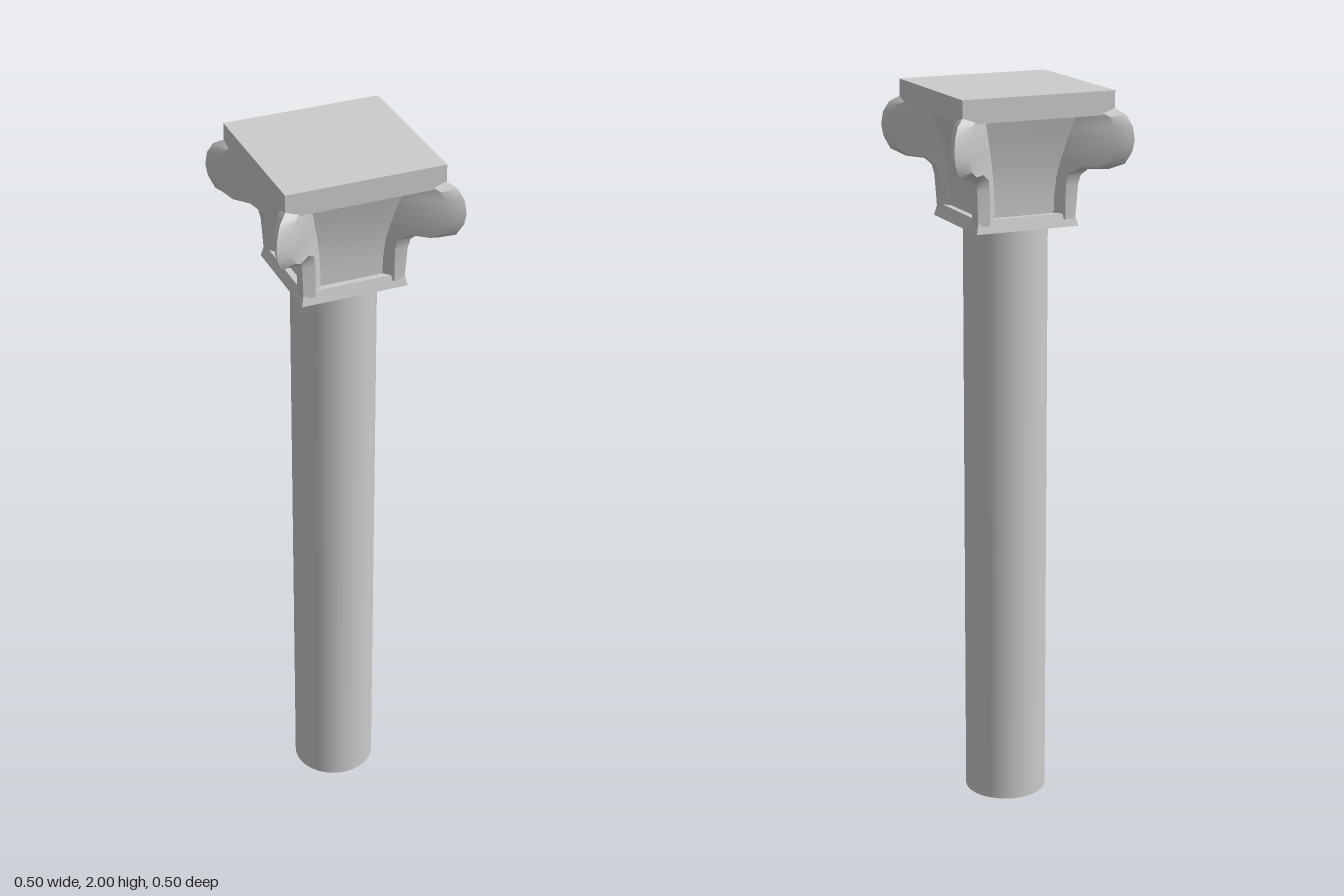
import * as THREE from 'three';
import { toCreasedNormals } from 'three/addons/utils/BufferGeometryUtils.js';

const material = new THREE.MeshStandardMaterial({ color: 0xcccccc });
const openMaterial = new THREE.MeshStandardMaterial({ color: 0xcccccc, side: THREE.DoubleSide });

function addMesh(parent, name, geometry, mat = material) {
  const mesh = new THREE.Mesh(geometry, mat);
  mesh.name = name;
  parent.add(mesh);
  return mesh;
}

// Square solid from a profile of [half width, height], bottom to top
function squareLathe(profile) {
  const points = profile.map(([half, y]) => new THREE.Vector2(half * Math.SQRT2, y));
  return toCreasedNormals(new THREE.LatheGeometry(points, 4, Math.PI / 4), 0.5);
}

// Corner scroll: flat cheeks with a sharp ridge along the outer edge.
// Each row is [cheek reach, cheek height, ridge reach, ridge height].
function scrollGeometry() {
  const half = 0.025, inner = 0.12;
  const rows = [
    [0.178, 1.66, 0.196, 1.66], [0.178, 1.75, 0.203, 1.75],
    [0.185, 1.78, 0.21, 1.775], [0.22, 1.8, 0.23, 1.792],
    [0.27, 1.803, 0.285, 1.795], [0.3, 1.82, 0.33, 1.812],
    [0.313, 1.85, 0.35, 1.845], [0.315, 1.875, 0.356, 1.875],
    [0.31, 1.91, 0.35, 1.91], [0.295, 1.935, 0.332, 1.938],
    [0.27, 1.945, 0.3, 1.955],
  ];
  const positions = [], index = [];
  rows.forEach(([s, y, ridge, ridgeY], i) => {
    positions.push(inner, y, -half, s, y, -half, ridge, ridgeY, 0, s, y, half, inner, y, half);
    if (i === rows.length - 1) return;
    for (let j = 0; j < 4; j++) {
      const a = i * 5 + j, up = a + 5;
      index.push(a, up, a + 1, a + 1, up, up + 1);
    }
  });
  const geometry = new THREE.BufferGeometry();
  geometry.setAttribute('position', new THREE.Float32BufferAttribute(positions, 3));
  geometry.setIndex(index);
  return toCreasedNormals(geometry, 0.7);
}

export function createModel() {
  const model = new THREE.Group();
  model.name = 'column';

  // Round shaft, open at the foot
  const shaft = addMesh(model, 'shaft',
    new THREE.CylinderGeometry(0.113, 0.113, 1.64, 48, 1, true), openMaterial);
  shaft.position.y = 0.82;

  // Capital: collar, flared bell, corner scrolls and top slab
  const capital = new THREE.Group();
  capital.name = 'capital';
  model.add(capital);

  addMesh(capital, 'collar', squareLathe([[0, 1.64], [0.145, 1.64], [0.137, 1.675], [0, 1.675]]));
  addMesh(capital, 'bell', squareLathe([
    [0.12, 1.67], [0.121, 1.72], [0.125, 1.77], [0.134, 1.82], [0.147, 1.875], [0.166, 1.945],
  ]));

  const scroll = scrollGeometry();
  for (let k = 0; k < 4; k++) {
    addMesh(capital, 'cornerScroll', scroll).rotation.y = Math.PI / 4 + k * Math.PI / 2;
  }

  const slab = addMesh(capital, 'abacus', new THREE.BoxGeometry(0.426, 0.062, 0.426));
  slab.position.y = 1.969;

  return model;
}
